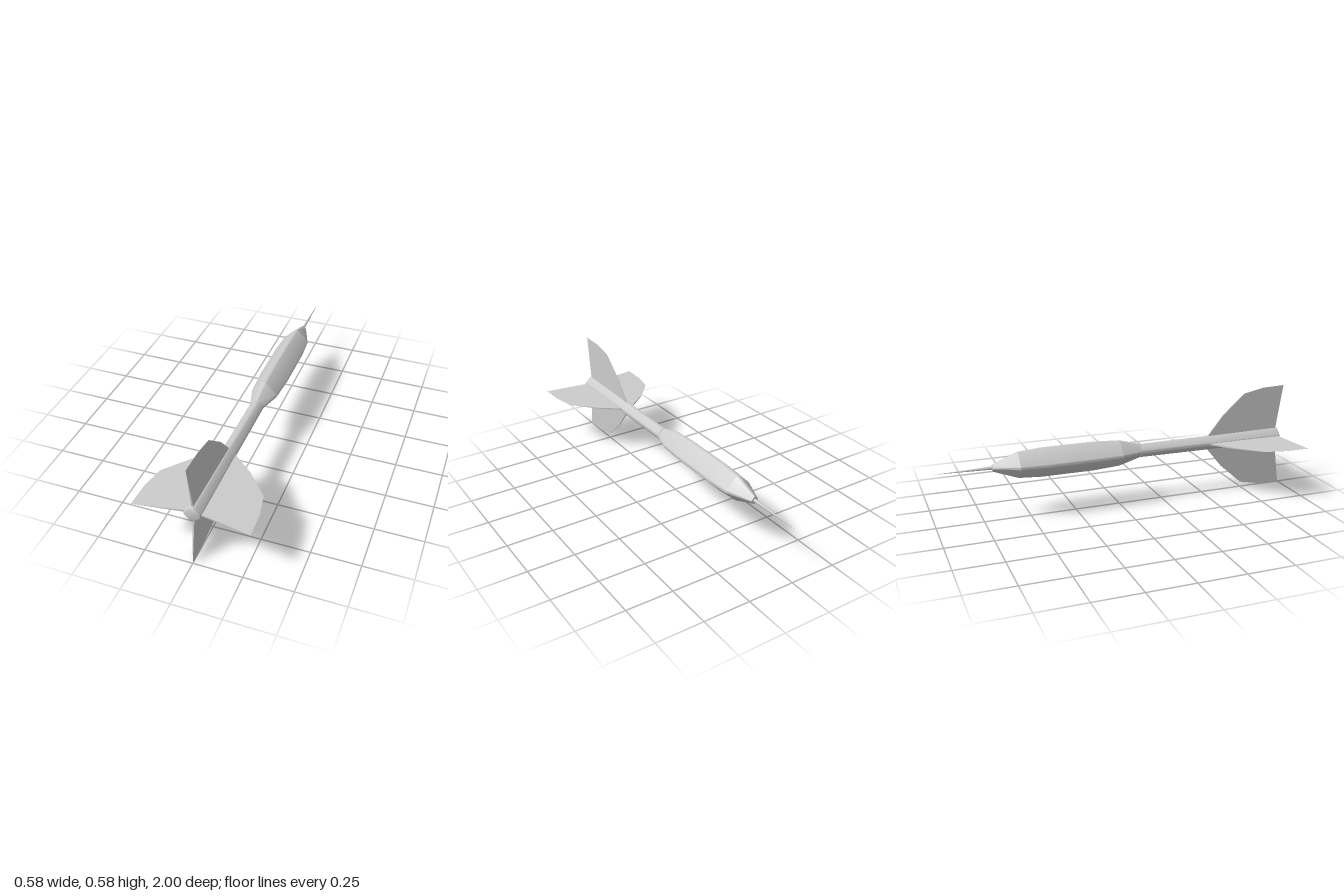
import * as THREE from 'three';
import { toCreasedNormals } from 'three/addons/utils/BufferGeometryUtils.js';

const CENTRE_Y = 0.292;

// Rounded diamond of unit half-width, counter-clockwise about +z
function diamond(corner) {
  const points = [];
  for (let k = 0; k < 4; k++) {
    for (const [x, y] of corner) {
      points.push(new THREE.Vector2(x, y).rotateAround(new THREE.Vector2(), k * Math.PI / 2));
    }
  }
  return points;
}

// Sweeps a section along z through [z, half-width] stations
function loft(section, stations) {
  const positions = [], index = [], n = section.length;
  for (const [z, r] of stations) {
    for (const p of section) positions.push(p.x * r, p.y * r, z);
  }
  for (let i = 0; i < stations.length - 1; i++) {
    for (let j = 0; j < n; j++) {
      const a = i * n + j, b = i * n + (j + 1) % n;
      if (stations[i][1] > 0) index.push(a, b, b + n);
      if (stations[i + 1][1] > 0) index.push(a, b + n, a + n);
      else if (stations[i][1] > 0) continue;
    }
  }
  const geometry = new THREE.BufferGeometry();
  geometry.setAttribute('position', new THREE.Float32BufferAttribute(positions, 3));
  geometry.setIndex(index);
  return toCreasedNormals(geometry, 0.7);
}

// Swept blade in the radius/z plane, thinning to an edge at its tip
function finGeometry() {
  const span = 0.292;
  const outline = [
    [0, 0.53], [0.04, 0.53], [0.15, 0.62], [0.264, 0.75],
    [0.288, 0.87], [span, 1], [0.04, 0.96], [0, 0.96],
  ].map(([r, z]) => new THREE.Vector2(r, z));
  const geometry = new THREE.ExtrudeGeometry(new THREE.Shape(outline), { depth: 2, bevelEnabled: false });
  geometry.translate(0, 0, -1);
  const pos = geometry.attributes.position;
  for (let i = 0; i < pos.count; i++) {
    const r = pos.getX(i);
    pos.setZ(i, pos.getZ(i) * 0.0055 * (1.02 - r / span));
  }
  geometry.rotateX(Math.PI / 2);
  geometry.computeVertexNormals();
  return geometry;
}

export function createModel() {
  const model = new THREE.Group();
  model.name = 'dart';
  const material = new THREE.MeshStandardMaterial({ color: 0xcccccc });

  function add(name, geometry) {
    const mesh = new THREE.Mesh(geometry, material);
    mesh.name = name;
    mesh.position.y = CENTRE_Y;
    model.add(mesh);
    return mesh;
  }

  const sharp = diamond([[0.14, 0.96], [0.06, 1], [-0.06, 1], [-0.14, 0.96]]);
  const soft = diamond([[0.27, 0.92], [0.13, 0.99], [-0.13, 0.99], [-0.27, 0.92]]);

  // Body: nose, heavy barrel, neck and slim shaft
  add('nose', loft(sharp, [[-0.695, 0], [-0.695, 0.02], [-0.56, 0.071]]));
  add('barrel', loft(sharp, [[-0.56, 0.071], [-0.43, 0.08], [-0.15, 0.08], [0, 0.071]]));
  add('neck', loft(sharp, [[0, 0.071], [0.125, 0.036]]));
  add('shaft', loft(soft, [
    [0.12, 0], [0.12, 0.037], [0.5, 0.039], [0.955, 0.044], [0.972, 0.041], [0.975, 0.036], [0.975, 0],
  ]));

  // Needle point
  const needle = new THREE.ConeGeometry(0.01, 0.32, 8);
  needle.rotateX(-Math.PI / 2).translate(0, 0, -0.84);
  add('needle', needle);

  // Four fins around the tail
  const fin = finGeometry();
  ['leftFin', 'topFin', 'rightFin', 'bottomFin'].forEach((name, k) => {
    add(name, fin).rotation.z = k * Math.PI / 2;
  });

  return model;
}
